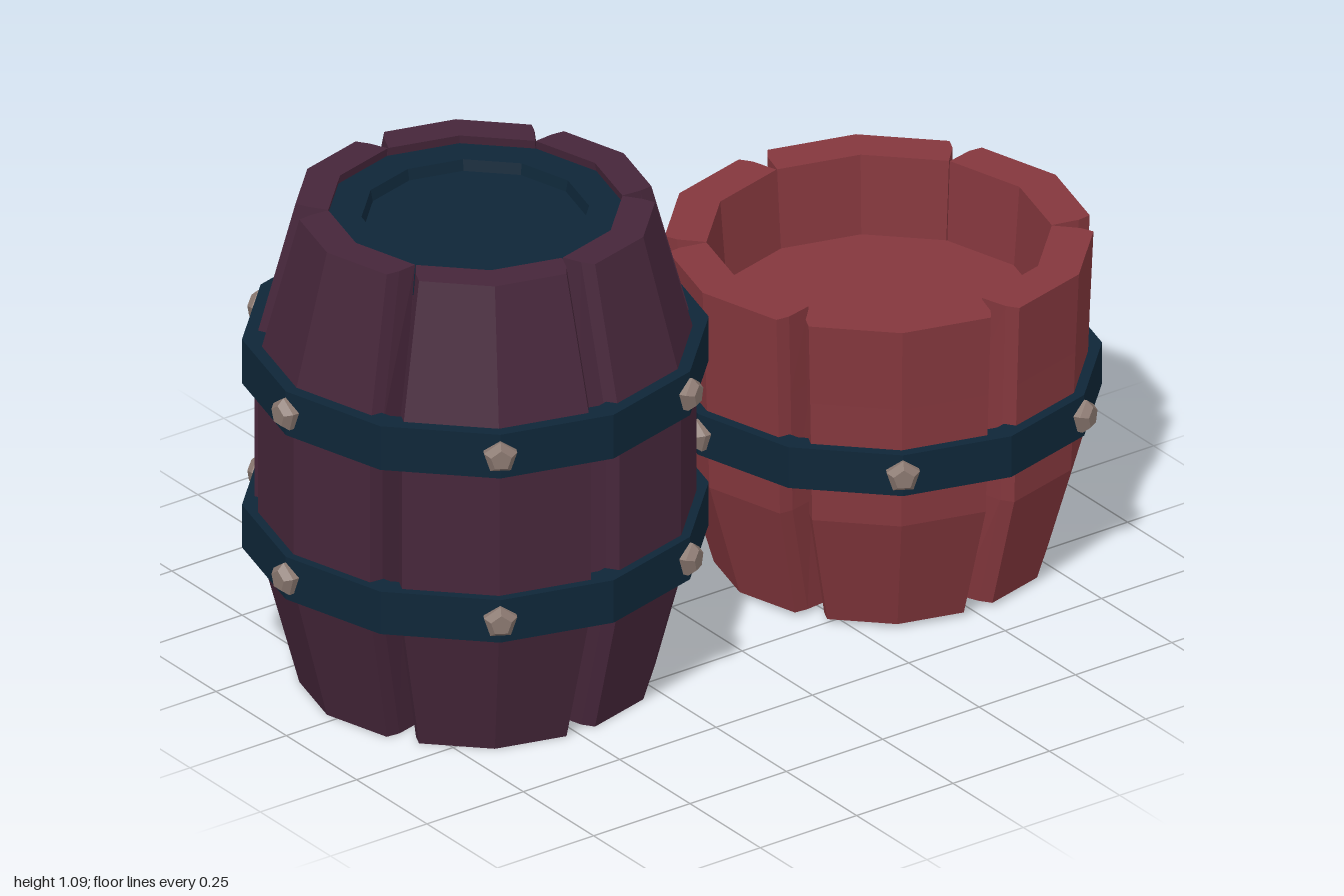
import * as THREE from 'three';

const paint = (name, color) => {
  const m = new THREE.MeshStandardMaterial({ color, flatShading: true });
  m.name = name;
  return m;
};

// Stave cross-section over 60 degrees: bent outer face, chamfered edges, V gap to the neighbour
function staveSection(outer, inner, y) {
  const edge = (side, rad, off) => {
    const a = side * Math.PI / 6;
    return [Math.sin(a) * rad - side * Math.cos(a) * off, y, Math.cos(a) * rad + side * Math.sin(a) * off];
  };
  const half = side => [
    edge(side, inner, 0.001),
    edge(side, outer - 0.035, 0.019),
    edge(side, outer - 0.01, 0.037),
  ];
  return [...half(-1), [0, y, outer], ...half(1).reverse(), [0, y, inner]];
}

// Loft the sections of a profile [outer radius, inner radius, y], bottom to top
function staveGeometry(profile) {
  const rings = profile.map(p => staveSection(...p));
  const pos = [];
  const tri = (a, b, c) => pos.push(...a, ...b, ...c);
  const n = 8;
  for (let k = 0; k < rings.length - 1; k++) {
    for (let i = 0; i < n; i++) {
      const j = (i + 1) % n, lo = rings[k], hi = rings[k + 1];
      tri(lo[i], lo[j], hi[j]);
      tri(lo[i], hi[j], hi[i]);
    }
  }
  // End caps fan out from the outer centre corner
  const bottom = rings[0], top = rings[rings.length - 1];
  for (let i = 1; i < n - 1; i++) {
    const a = (3 + i) % n, b = (4 + i) % n;
    tri(top[3], top[a], top[b]);
    tri(bottom[3], bottom[b], bottom[a]);
  }
  const g = new THREE.BufferGeometry();
  g.setAttribute('position', new THREE.Float32BufferAttribute(pos, 3));
  g.computeVertexNormals();
  return g;
}

// Twelve-sided turned part
const turned = points => new THREE.LatheGeometry(points.map(p => new THREE.Vector2(...p)), 12);

function studGeometry() {
  const pts = [[0.036, -0.03], [0.037, 0.006], [0.023, 0.021], [0, 0.021]];
  const g = new THREE.LatheGeometry(pts.map(p => new THREE.Vector2(...p)), 5);
  return g.rotateY(Math.PI).rotateX(Math.PI / 2);
}

export function createModel() {
  const navy = paint('navy metal', 0x0e2638);
  const purple = paint('purple wood', 0x46263a);
  const red = paint('red wood', 0x84373d);
  const stone = paint('stud grey', 0x8a7870);
  const model = new THREE.Group();
  model.name = 'barrels';

  const add = (parent, name, geometry, material) => {
    const mesh = new THREE.Mesh(geometry, material);
    mesh.name = name;
    parent.add(mesh);
    return mesh;
  };

  const makeBarrel = (name, wood, profile) => {
    const barrel = new THREE.Group();
    barrel.name = name;
    const geometry = staveGeometry(profile);
    for (let i = 0; i < 6; i++) {
      add(barrel, 'stave', geometry, wood).rotation.y = Math.PI / 6 + i * Math.PI / 3;
    }
    model.add(barrel);
    return barrel;
  };

  // Hoop with six studs, one in the middle of each stave
  const stud = studGeometry();
  const addHoop = (barrel, y0, y1, outer, inner) => {
    add(barrel, 'hoop', turned([[inner, y0], [outer, y0], [outer, y1], [inner, y1], [inner, y0]]), navy);
    for (let i = 0; i < 6; i++) {
      const a = Math.PI / 6 + i * Math.PI / 3;
      const m = add(barrel, 'stud', stud, stone);
      m.position.set(Math.sin(a) * outer, (y0 + y1) / 2, Math.cos(a) * outer);
      m.rotation.y = a;
    }
  };

  // Tall closed barrel
  const tall = makeBarrel('tallBarrel', purple, [
    [0.385, 0.285, 0], [0.472, 0.37, 0.33], [0.472, 0.37, 0.765], [0.385, 0.31, 1.09],
  ]);
  tall.position.set(-0.49, 0, -0.027);
  addHoop(tall, 0.305, 0.405, 0.492, 0.44);
  addHoop(tall, 0.692, 0.795, 0.492, 0.44);
  add(tall, 'lid', turned([[0.315, 1.02], [0.315, 1.07], [0.24, 1.07], [0.235, 1.045], [0, 1.045]]), navy);
  add(tall, 'base', turned([[0, 0.03], [0.29, 0.03], [0.29, 0.06], [0, 0.06]]), navy);

  // Short open tub
  const tub = makeBarrel('openTub', red, [
    [0.362, 0.285, 0.01], [0.44, 0.345, 0.28], [0.45, 0.35, 0.56], [0.458, 0.364, 0.745],
  ]);
  tub.position.set(0.505, 0, 0.045);
  addHoop(tub, 0.367, 0.463, 0.47, 0.42);
  add(tub, 'floor', turned([[0, 0.53], [0.349, 0.53], [0.349, 0.565], [0, 0.565]]), red);
  add(tub, 'base', turned([[0, 0.03], [0.29, 0.03], [0.29, 0.06], [0, 0.06]]), red);

  return model;
}
